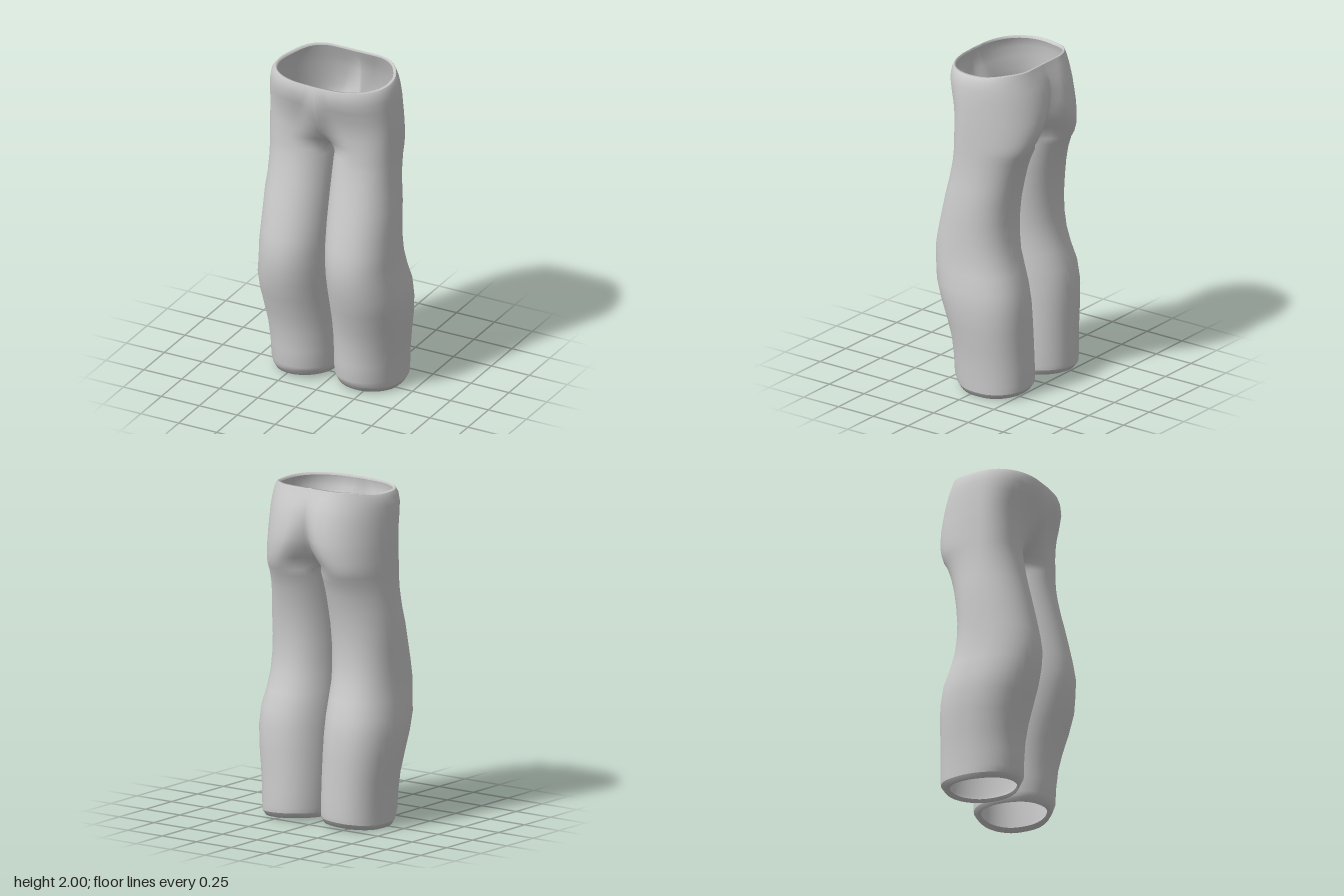
import * as THREE from 'three';
import { mergeVertices } from 'three/addons/utils/BufferGeometryUtils.js';

const K = 8;   // segments from the centre line to the crest of the thigh
const M = 22;  // segments round the outside
const L = 10;  // segments on the inner side of the leg
const RAD = Math.PI / 180;
const { lerp, smoothstep } = THREE.MathUtils;

// Leg cross-sections: y, outer x, inner x, front z, back z
const LEG = [
  [0.03, 0.41, 0.008, 0.185, -0.283],
  [0.08, 0.413, 0.004, 0.202, -0.286],
  [0.18, 0.418, 0.003, 0.205, -0.283],
  [0.30, 0.43, 0.003, 0.215, -0.28],
  [0.42, 0.447, 0.003, 0.24, -0.278],
  [0.54, 0.457, 0.003, 0.277, -0.273],
  [0.65, 0.455, 0.003, 0.308, -0.255],
  [0.75, 0.437, 0.003, 0.322, -0.222],
  [0.85, 0.428, 0.005, 0.328, -0.192],
  [0.95, 0.423, 0.003, 0.312, -0.178],
  [1.06, 0.42, 0.002, 0.288, -0.175],
  [1.18, 0.418, 0.002, 0.26, -0.186],
  [1.28, 0.408, 0.002, 0.235, -0.205],
  [1.38, 0.402, 0.003, 0.213, -0.23],
  [1.46, 0.4, 0.004, 0.2, -0.26],
  [1.5, 0.4, 0.008, 0.197, -0.283],
];

// Hip cross-sections: y, outer x, front crest x, back crest x, front z, back z, centre front z, centre back z
const HIP = [
  [1.54, 0.4, 0.205, 0.2, 0.195, -0.297, 0.075, -0.14],
  [1.58, 0.4, 0.2, 0.18, 0.195, -0.31, 0.125, -0.19],
  [1.64, 0.4, 0.185, 0.15, 0.198, -0.323, 0.178, -0.235],
  [1.7, 0.4, 0.16, 0.125, 0.205, -0.327, 0.212, -0.262],
  [1.77, 0.398, 0.13, 0.112, 0.224, -0.319, 0.248, -0.28],
  [1.84, 0.396, 0.11, 0.11, 0.25, -0.305, 0.271, -0.285],
  [1.9, 0.391, 0.09, 0.115, 0.272, -0.285, 0.28, -0.278],
  [1.95, 0.382, 0.075, 0.13, 0.272, -0.262, 0.276, -0.259],
  [1.975, 0.365, 0.07, 0.14, 0.265, -0.244, 0.268, -0.243],
];

const power = (v, p) => Math.sign(v) * Math.abs(v) ** p;

// Point on an oval; on the outside it is widest further forward towards the hips
function oval(degrees, y, cx, rx, zf, zb) {
  const c = Math.cos(degrees * RAD), s = Math.sin(degrees * RAD);
  const hip = smoothstep(y, 0.85, 1.52);
  const mid = lerp((zf + zb) / 2, 0.03, c > 0 ? hip : 0);
  let p = 0.95;
  if (c > 0) p = s < 0 ? lerp(0.86, 1, hip) : lerp(1, 0.94, smoothstep(y, 0.3, 0.7));
  return [cx + rx * power(c, p), y, mid + power(s, p) * (s > 0 ? zf - mid : mid - zb)];
}

// Closed ring round one leg: front, outside, back, inner side
function legRing([y, xo, xi, zf, zb]) {
  const angles = [];
  for (let i = 0; i < K; i++) angles.push(150 - 60 * i / K);
  for (let i = 0; i < M; i++) angles.push(90 - 180 * i / M);
  for (let i = 0; i <= K; i++) angles.push(-90 - 60 * i / K);
  for (let i = 1; i <= L; i++) angles.push(-150 - 60 * i / L);
  return angles.map(a => oval(a, y, (xo + xi) / 2, (xo - xi) / 2, zf, zb));
}

// Half ring of the hips, from centre front round the side to centre back
function hipRing([y, xo, cf, cb, zf, zb, fc, bc]) {
  const ease = (from, to, u) => from + (to - from) * (Math.abs(to) > Math.abs(from)
    ? Math.sin(u * Math.PI / 2) : (1 - Math.cos(u * Math.PI)) / 2);
  const ring = [];
  for (let i = 0; i < K; i++) ring.push([cf * i / K, y, ease(fc, zf, i / K)]);
  for (let i = 0; i < M; i++) {
    const cx = i < M / 2 ? cf : cb;
    ring.push(oval(90 - 180 * i / M, y, cx, xo - cx, zf, zb));
  }
  for (let i = K; i >= 0; i--) ring.push([cb * i / K, y, ease(bc, zb, i / K)]);
  return ring;
}

// Skin neighbouring rings on both sides of the centre line, welded where they touch
function skin(strips) {
  const pos = [], index = [];
  for (const side of [1, -1]) {
    for (const rings of strips) {
      for (let r = 0; r < rings.length - 1; r++) {
        const low = rings[r], high = rings[r + 1];
        for (let j = 0; j < low.length - 1; j++) {
          const k = pos.length / 3;
          for (const p of [low[j], low[j + 1], high[j + 1], high[j]]) pos.push(p[0] * side, p[1], p[2]);
          if (side > 0) index.push(k, k + 1, k + 2, k, k + 2, k + 3);
          else index.push(k, k + 2, k + 1, k, k + 3, k + 2);
        }
      }
    }
  }
  const geo = new THREE.BufferGeometry();
  geo.setAttribute('position', new THREE.Float32BufferAttribute(pos, 3));
  geo.setIndex(index);
  const welded = mergeVertices(geo, 1e-4);
  welded.computeVertexNormals();
  return welded;
}

export function createModel() {
  const group = new THREE.Group();
  group.name = 'trousers';
  const cloth = new THREE.MeshStandardMaterial({ color: 0xcccccc, side: THREE.DoubleSide });
  cloth.name = 'light grey cloth';
  const add = (name, strips) => {
    const mesh = new THREE.Mesh(skin(strips), cloth);
    mesh.name = name;
    group.add(mesh);
  };

  // Waist edge rises at the back; hems dip at the outside and lift at front and back
  const rise = ring => ring.map(([x, y, z]) => [x, y + 0.02 * smoothstep(-z, 0.05, 0.22), z]);
  const dip = ring => ring.map(([x, y, z]) => [
    x, y + 0.02 * (1 - Math.min(1, x / 0.38)) + 0.06 * Math.max(0, Math.abs(z + 0.05) - 0.08), z]);

  // Legs and hips in one smooth shell; the inner sides of the legs meet in the crotch
  const legs = LEG.map(legRing), hips = HIP.map(hipRing);
  const ankle = legs[0] = dip(legs[0]);
  const waist = hips[hips.length - 1] = rise(hips[hips.length - 1]);
  const crotch = hips[0].slice();
  const [fc, bc] = HIP[0].slice(-2);
  for (let i = 1; i <= L; i++) {
    crotch.push([0, 1.54 - 0.015 * Math.sin(Math.PI * i / L), bc + (fc - bc) * i / L]);
  }
  add('legsAndHips', [[...legs, crotch], hips]);

  // Narrow lip turned in at the waist
  add('waistLip', [[
    waist,
    rise(hipRing([1.98, 0.352, 0.07, 0.14, 0.26, -0.237, 0.263, -0.237])),
    rise(hipRing([1.965, 0.345, 0.07, 0.14, 0.257, -0.235, 0.26, -0.235])),
  ]]);

  // Hems turned in at the ankles
  add('hems', [[
    dip(legRing([0.018, 0.362, 0.035, 0.157, -0.235])),
    dip(legRing([0, 0.393, 0.02, 0.168, -0.262])),
    ankle,
  ]]);
  return group;
}
